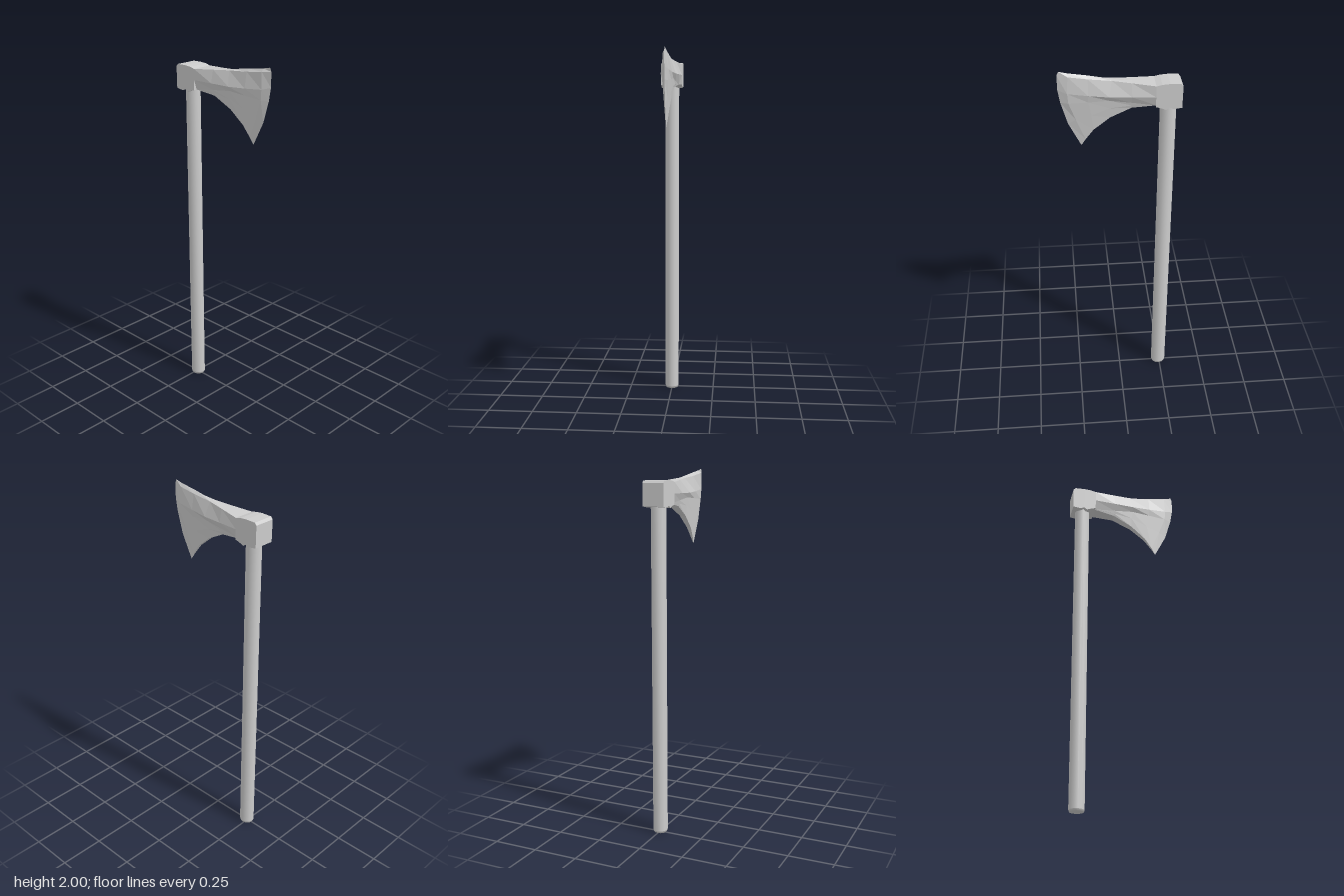
import * as THREE from 'three';

const grey = (opts = {}) => new THREE.MeshStandardMaterial({ color: 0xcccccc, ...opts });

function add(group, name, geometry, material) {
  const mesh = new THREE.Mesh(geometry, material);
  mesh.name = name;
  group.add(mesh);
  return mesh;
}

// Lofts a skin through half cross-sections ([x, y, z] from top centre to bottom), mirrored in x
function loftMirrored(sections) {
  const rings = sections.map((half) => [
    ...half,
    ...half.slice(1).reverse().map(([x, y, z]) => [-x, y, z]),
  ]);
  const n = rings[0].length;
  const index = [];
  for (let i = 0; i < rings.length - 1; i++) {
    for (let k = 0; k < n; k++) {
      const a = i * n + k, b = i * n + (k + 1) % n;
      index.push(a, a + n, b, b, a + n, b + n);
    }
  }
  const geometry = new THREE.BufferGeometry();
  geometry.setAttribute('position', new THREE.Float32BufferAttribute(rings.flat(2), 3));
  geometry.setIndex(index);
  const flat = geometry.toNonIndexed();
  flat.computeVertexNormals();
  return flat;
}

export function createModel() {
  const axe = new THREE.Group();
  axe.name = 'axe';

  // Shaft: slightly oval, leaning back a touch, with a small chamfer at the foot
  const shaftProfile = [[0, 0], [0.036, 0], [0.04, 0.012], [0.04, 0.012], [0.04, 1.86], [0, 1.86]]
    .map(([r, y]) => new THREE.Vector2(r, y));
  const shaft = new THREE.LatheGeometry(shaftProfile, 12);
  shaft.scale(1, 1, 1.07);
  const p = shaft.attributes.position;
  for (let i = 0; i < p.count; i++) p.setZ(i, p.getZ(i) - 0.243 - 0.004 * p.getY(i));
  add(axe, 'shaft', shaft, grey());

  // Socket block around the shaft: side profile as [z, y], extruded across x
  const profile = [
    [-0.18, 1.815], [-0.205, 1.808], [-0.232, 1.797], [-0.25, 1.81], [-0.27, 1.8], [-0.314, 1.806],
    [-0.316, 1.925], [-0.305, 1.938], [-0.25, 1.94], [-0.21, 1.937], [-0.18, 1.93],
  ].map(([z, y]) => new THREE.Vector2(z, y));
  const socket = new THREE.ExtrudeGeometry(new THREE.Shape(profile), { depth: 0.12, bevelEnabled: false });
  socket.rotateY(-Math.PI / 2).translate(0.06, 0, 0);
  add(axe, 'socket', socket, grey({ flatShading: true }));

  // Blade sections from socket to cutting edge:
  // spine, top corner, side ridge, under ridge, lower cheek, bottom corner
  const blade = loftMirrored([
    [[0, 1.93, -0.18], [0.06, 1.93, -0.18], [0.06, 1.87, -0.18], [0.042, 1.818, -0.18], [0.041, 1.816, -0.18], [0.04, 1.815, -0.18]],
    [[0, 1.94, -0.06], [0.036, 1.94, -0.06], [0.051, 1.87, -0.06], [0.034, 1.832, -0.06], [0.03, 1.815, -0.06], [0.026, 1.8, -0.06]],
    [[0, 1.953, 0.04], [0.018, 1.949, 0.04], [0.042, 1.87, 0.055], [0.028, 1.845, 0.055], [0.024, 1.8, 0.05], [0.018, 1.745, 0.05]],
    [[0, 1.975, 0.16], [0.015, 1.96, 0.16], [0.03, 1.876, 0.16], [0.023, 1.837, 0.16], [0.018, 1.76, 0.145], [0.012, 1.675, 0.135]],
    [[0, 1.99, 0.26], [0.012, 1.974, 0.26], [0.018, 1.885, 0.265], [0.016, 1.83, 0.26], [0.011, 1.735, 0.225], [0.006, 1.618, 0.177]],
    [[0, 2.0, 0.305], [0, 1.98, 0.314], [0, 1.9, 0.313], [0, 1.83, 0.301], [0, 1.71, 0.266], [0, 1.58, 0.2]],
  ]);
  add(axe, 'blade', blade, grey({ flatShading: true }));

  return axe;
}
